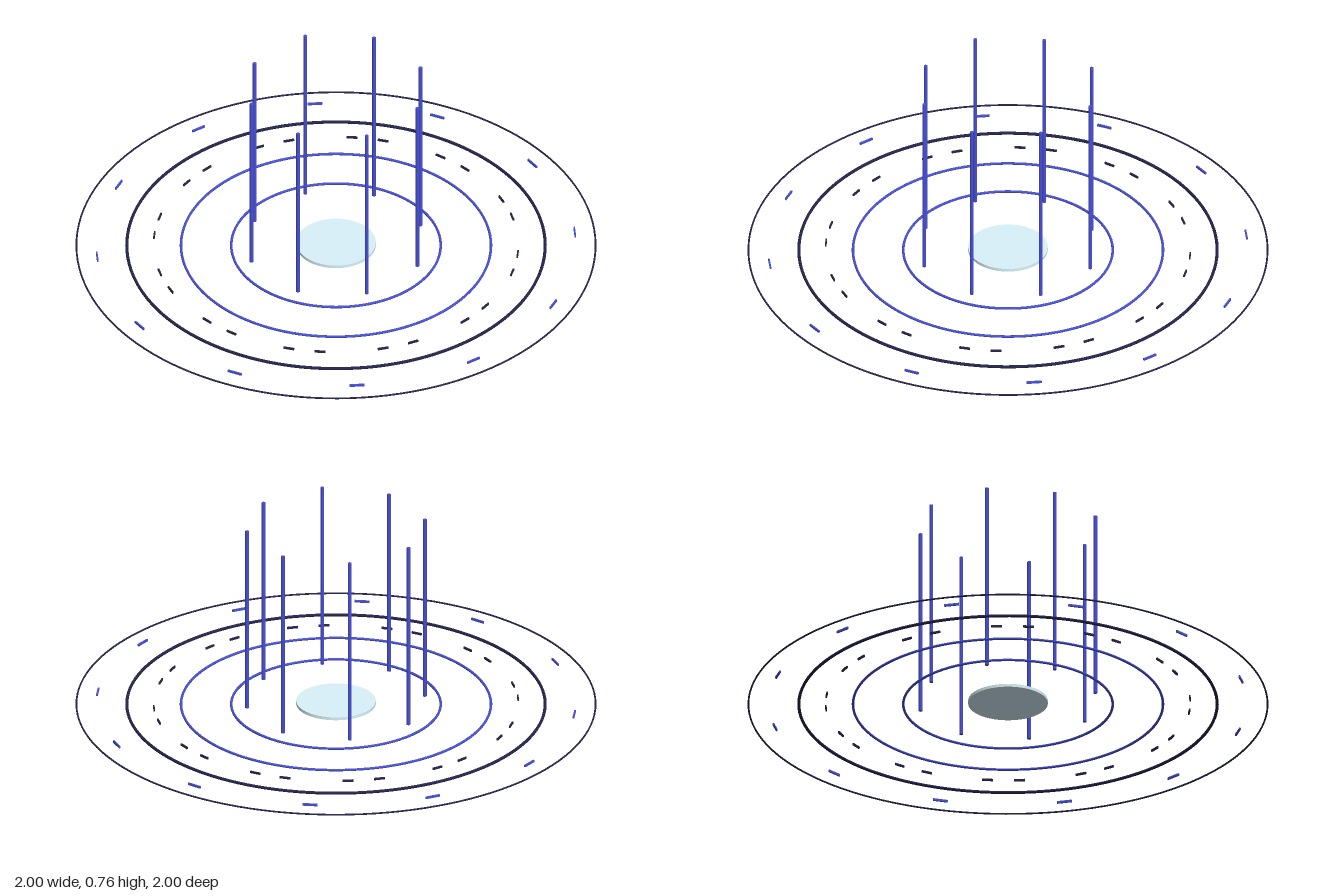
import * as THREE from 'three';

const mat = (color) => new THREE.MeshStandardMaterial({ color });

export function createModel() {
  const model = new THREE.Group();
  const blue = mat(0x4850d8), navy = mat(0x24244c), pale = mat(0xdaf2fb);

  const add = (name, geometry, material, parent = model) => {
    const mesh = new THREE.Mesh(geometry, material);
    mesh.name = name;
    parent.add(mesh);
    return mesh;
  };

  // Places copies on a circle at the given angles in degrees, each one tangent to it
  const around = (name, angles, radius, y, geometry, material) => {
    const group = new THREE.Group();
    group.name = name + 's';
    for (const degrees of angles) {
      const a = THREE.MathUtils.degToRad(degrees);
      const part = add(name, geometry, material, group);
      part.position.set(Math.sin(a) * radius, y, Math.cos(a) * radius);
      part.rotation.y = a;
    }
    model.add(group);
  };
  const evenAngles = (count) => Array.from({ length: count }, (_, i) => (i * 360) / count);

  // Concentric rings lying on the ground: name, radius, tube, material
  const rings = [
    ['innerRing', 0.402, 0.005, blue],
    ['middleRing', 0.595, 0.005, blue],
    ['wideRing', 0.803, 0.006, navy],
    ['outerRing', 0.9965, 0.0035, navy],
  ];
  for (const [name, radius, tube, material] of rings) {
    const ring = add(name, new THREE.TorusGeometry(radius, tube, 8, 128), material);
    ring.rotation.x = Math.PI / 2;
    ring.position.y = 0.006;
  }

  // Central plate
  add('centerDisc', new THREE.CylinderGeometry(0.153, 0.153, 0.012, 64), pale).position.y = 0.015;

  // Upright light beams
  around('beam', evenAngles(8), 0.345, 0.39, new THREE.CylinderGeometry(0.0075, 0.0075, 0.75, 8), blue);

  // Dashed circle in pairs, leaving every third dash out
  const dashAngles = evenAngles(36).filter((_, i) => i % 3 !== 0);
  around('dash', dashAngles, 0.7, 0.01, new THREE.BoxGeometry(0.042, 0.008, 0.006), navy);

  // Outer tick marks
  around('tick', evenAngles(12), 0.92, 0.01, new THREE.BoxGeometry(0.058, 0.009, 0.006), blue);

  return model;
}
